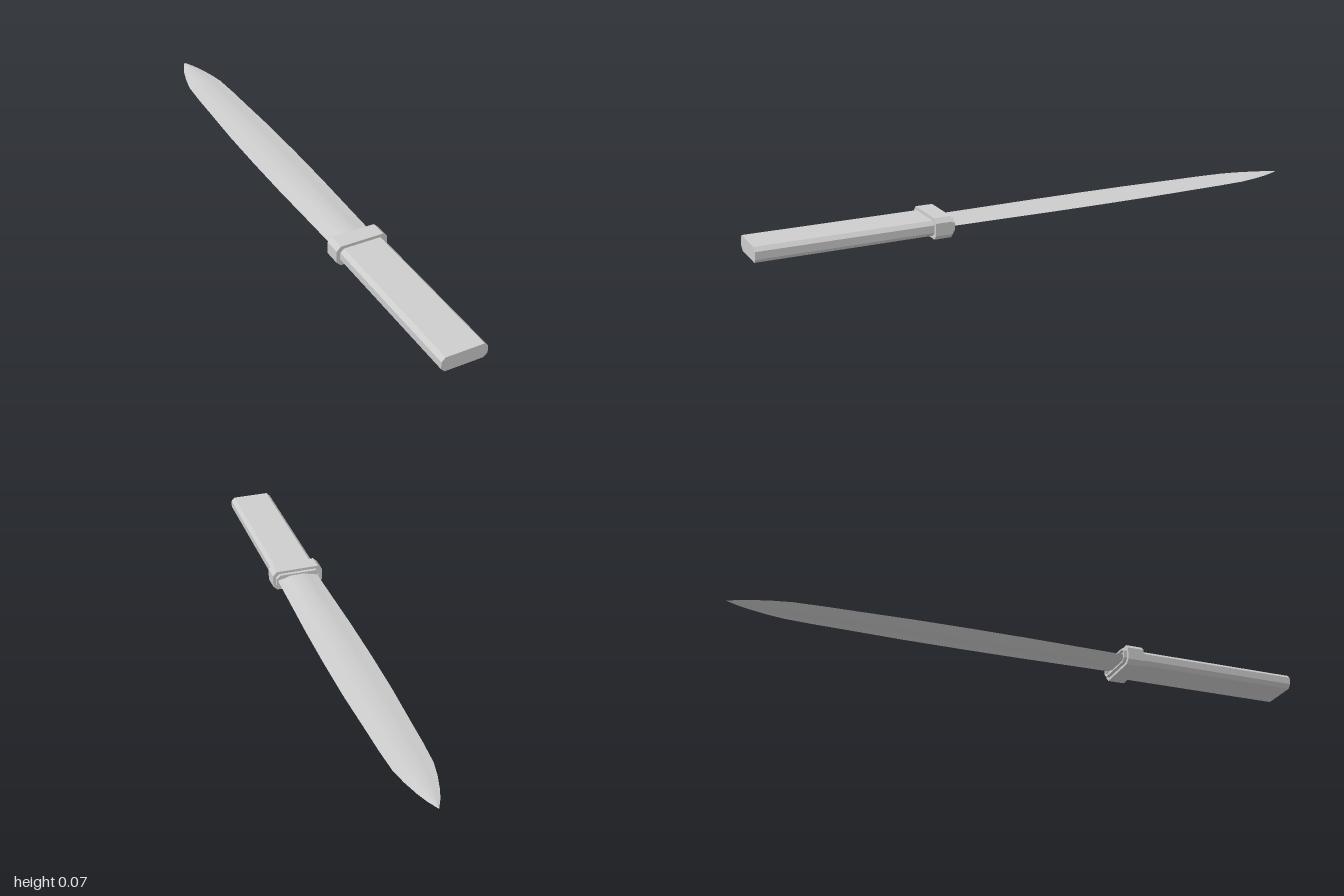
import * as THREE from 'three';

const MID = 0.036; // height of the long axis

// Rectangle with cut corners
function trace(path, w, h, c) {
  const pts = [[w - c, -h], [w, c - h], [w, h - c], [w - c, h], [c - w, h], [-w, h - c], [-w, c - h], [c - w, -h]];
  pts.forEach(([x, y], i) => (i ? path.lineTo(x, y) : path.moveTo(x, y)));
  path.closePath();
  return path;
}

// Straight bar with cut corners running from z0 to z1, optionally hollow
function bar(name, w, h, c, z0, z1, material, wall = 0) {
  const shape = trace(new THREE.Shape(), w, h, c);
  if (wall) shape.holes.push(trace(new THREE.Path(), w - wall, h - wall, c * 0.7));
  const mesh = new THREE.Mesh(
    new THREE.ExtrudeGeometry(shape, { depth: z1 - z0, bevelEnabled: false }), material);
  mesh.name = name;
  mesh.position.set(0, MID, z0);
  return mesh;
}

// One smooth face of the blade: side is 1 for the upper face, -1 for the lower
function bladeFace(side) {
  // z, half width, half thickness
  const stations = [
    [0.38, 0.074, 0.015], [0.2, 0.077, 0.0125], [0, 0.081, 0.011], [-0.2, 0.082, 0.01],
    [-0.4, 0.08, 0.0095], [-0.6, 0.073, 0.009], [-0.7, 0.07, 0.0085], [-0.8, 0.064, 0.008],
    [-0.86, 0.052, 0.007], [-0.92, 0.035, 0.005], [-0.96, 0.02, 0.0035], [-1, 0, 0],
  ];
  // Fraction of the width, fraction of the thickness
  const section = [
    [-1, 0], [-0.85, 0.2], [-0.65, 0.42], [-0.45, 0.75], [-0.25, 0.95], [0, 1],
    [0.25, 0.95], [0.45, 0.75], [0.65, 0.42], [0.85, 0.2], [1, 0],
  ];
  const positions = [], index = [], n = section.length;
  stations.forEach(([z, w, t], i) => {
    section.forEach(([u, v], j) => {
      positions.push(u * w, MID + side * v * t, z);
      if (i + 1 < stations.length && j + 1 < n) {
        const a = i * n + j, b = a + 1, c = a + n, d = c + 1;
        if (side > 0) index.push(a, b, c, b, d, c);
        else index.push(a, c, b, b, c, d);
      }
    });
  });
  const geometry = new THREE.BufferGeometry();
  geometry.setAttribute('position', new THREE.Float32BufferAttribute(positions, 3));
  geometry.setIndex(index);
  geometry.computeVertexNormals();
  return geometry;
}

export function createModel() {
  const model = new THREE.Group();
  model.name = 'shortSword';
  const grey = new THREE.MeshStandardMaterial({ color: 0xcccccc });
  grey.name = 'light grey';

  // Grip and guard, with a raised collar around the blade
  model.add(bar('grip', 0.079, 0.0255, 0.013, 0.41, 1, grey));
  model.add(bar('guard', 0.092, 0.036, 0.015, 0.355, 0.414, grey));
  model.add(bar('guardCollar', 0.081, 0.0265, 0.013, 0.343, 0.355, grey, 0.006));

  // Double-edged blade
  const blade = new THREE.Group();
  blade.name = 'blade';
  for (const side of [1, -1]) {
    const face = new THREE.Mesh(bladeFace(side), grey);
    face.name = side > 0 ? 'bladeUpperFace' : 'bladeLowerFace';
    blade.add(face);
  }
  model.add(blade);
  return model;
}
